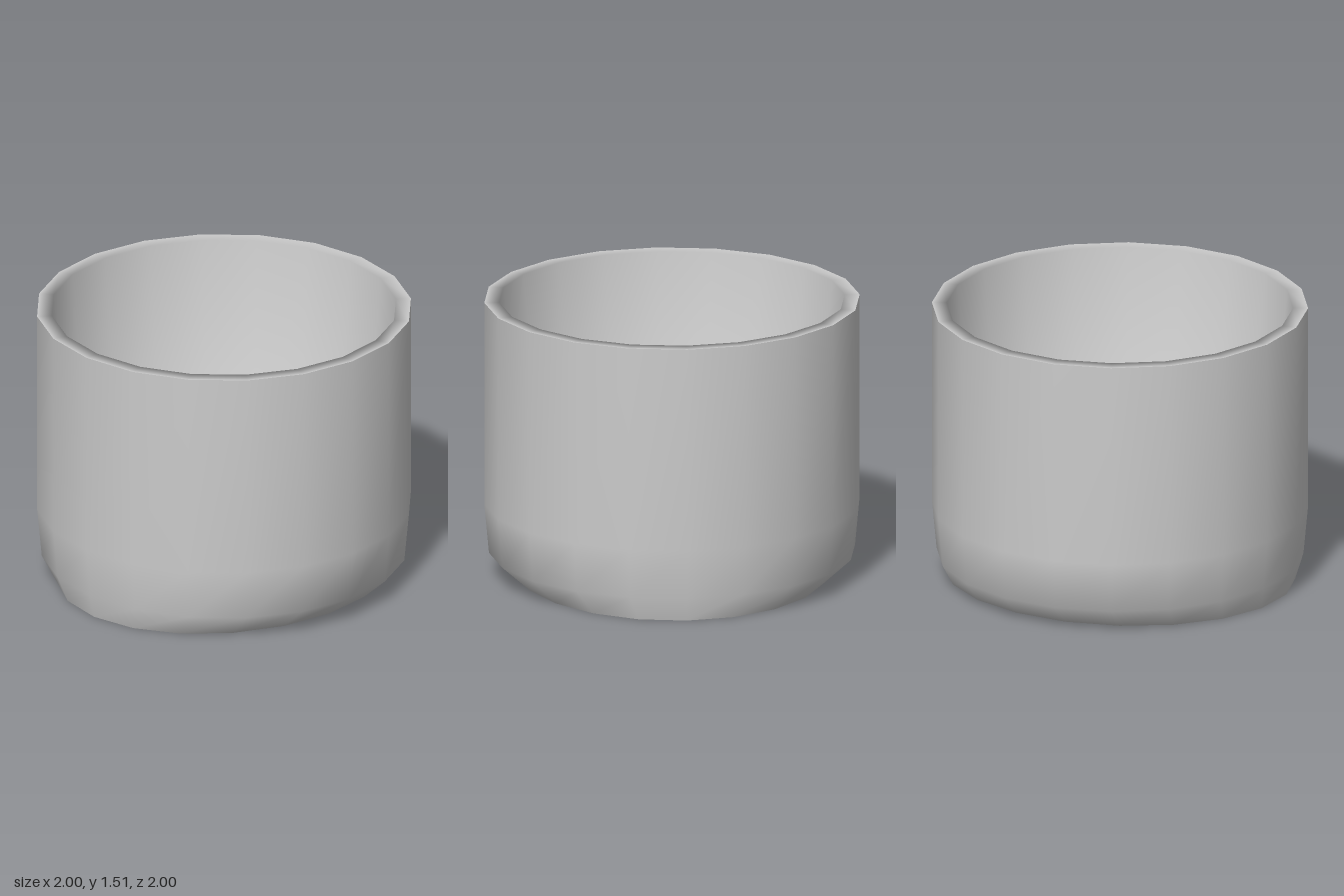
import * as THREE from 'three';

const SIDES = 20;
const HEIGHT = 1.51;
const material = new THREE.MeshStandardMaterial({ color: 0xcccccc });

// Skin a stack of elliptical rings [radiusX, radiusZ, y]; rings share vertices, so shading is smooth
function loft(name, rings) {
  const positions = [];
  const index = [];
  rings.forEach(([rx, rz, y], r) => {
    for (let i = 0; i < SIDES; i++) {
      const angle = (i / SIDES) * Math.PI * 2;
      positions.push(rx * Math.cos(angle), y, rz * Math.sin(angle));
      if (r === 0) continue;
      const next = (i + 1) % SIDES;
      const a = (r - 1) * SIDES + i;
      const b = (r - 1) * SIDES + next;
      const c = r * SIDES + i;
      const d = r * SIDES + next;
      index.push(a, c, b, b, c, d);
    }
  });
  const geometry = new THREE.BufferGeometry();
  geometry.setAttribute('position', new THREE.Float32BufferAttribute(positions, 3));
  geometry.setIndex(index);
  geometry.computeVertexNormals();
  const mesh = new THREE.Mesh(geometry, material);
  mesh.name = name;
  return mesh;
}

export function createModel() {
  const group = new THREE.Group();
  group.name = 'cup';

  // Straight wall, tapering to an oval foot that is narrower across x
  const foot = [0.82, 0.945, 0];
  group.add(loft('outerWall', [
    foot,
    [0.975, 0.975, 0.13],
    [1, 1, 0.4],
    [1, 1, HEIGHT],
  ]));

  // Flat underside
  group.add(loft('base', [[0, 0, 0], foot]));

  // Flat rim, inner wall narrowing downward and inside floor, shaded as one soft surface
  const floor = 0.1;
  group.add(loft('rimAndInterior', [
    [1, 1, HEIGHT],
    [0.92, 0.92, HEIGHT],
    [0.78, 0.8, floor],
    [0, 0, floor],
  ]));

  return group;
}
